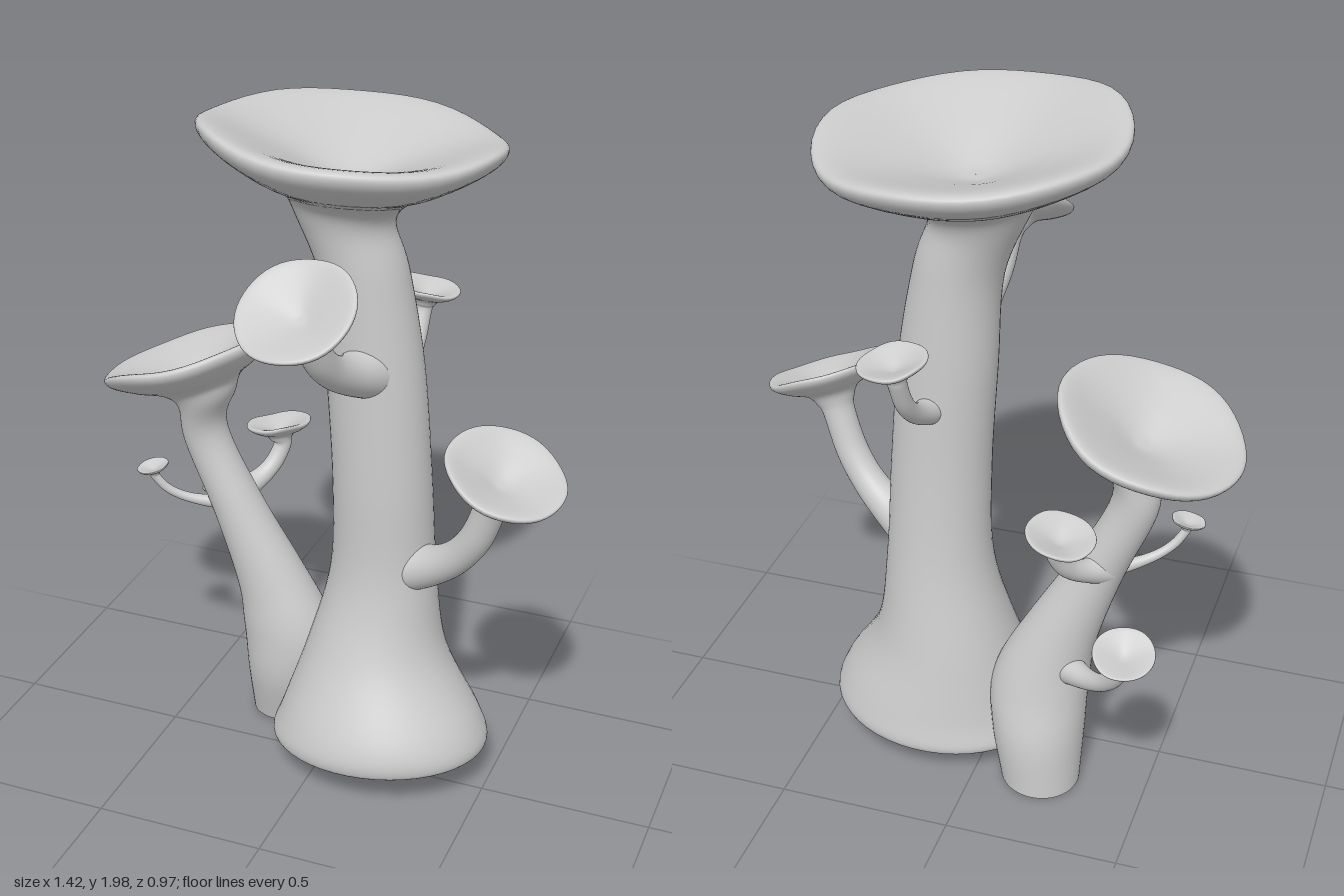
import * as THREE from 'three';

const material = new THREE.MeshStandardMaterial({ color: 0xcccccc, side: THREE.DoubleSide });
const UP = new THREE.Vector3(0, 1, 0);
const FOOT = new THREE.Vector3(-0.05, 1, -0.06).normalize();
const SIDES = 48, STEPS = 6;
const vec = (a) => new THREE.Vector3(...a);

// Trumpet cap: [radius, height along the cap axis], in cap radii, from neck over the lip into the bowl
const CAP = [[0.33, -0.58], [0.45, -0.41], [0.72, -0.28], [0.95, -0.13], [0.99, -0.02], [0.86, -0.02],
  [0.5, -0.15], [0.15, -0.29], [0.001, -0.31]];

// Smooth skin through sections { p, n, rx, rz }, wavy where wave > 0
function loft(name, sections, phase) {
  const curve = (f) => new THREE.CatmullRomCurve3(sections.map(f), false, 'catmullrom', 0.5);
  const centres = curve((s) => s.p);
  const normals = curve((s) => s.n);
  const sizes = curve((s) => new THREE.Vector3(s.rx, s.rz, s.wave));
  const rings = (sections.length - 1) * STEPS;
  const positions = [], index = [];
  const q = new THREE.Quaternion();
  for (let i = 0; i <= rings; i++) {
    const c = centres.getPoint(i / rings), r = sizes.getPoint(i / rings);
    q.setFromUnitVectors(UP, normals.getPoint(i / rings).normalize());
    for (let j = 0; j < SIDES; j++) {
      const a = (j / SIDES) * Math.PI * 2;
      const lift = r.z * (Math.sin(3 * a + phase) + 0.6 * Math.sin(5 * a + 2 * phase));
      const v = new THREE.Vector3(r.x * Math.cos(a), lift, r.y * Math.sin(a)).applyQuaternion(q).add(c);
      positions.push(v.x, v.y, v.z);
      if (i < rings) {
        const k = i * SIDES + j, m = i * SIDES + (j + 1) % SIDES;
        index.push(k, k + SIDES, m, m, k + SIDES, m + SIDES);
      }
    }
  }
  const geometry = new THREE.BufferGeometry();
  geometry.setAttribute('position', new THREE.Float32BufferAttribute(positions, 3));
  geometry.setIndex(index);
  geometry.computeVertexNormals();
  const mesh = new THREE.Mesh(geometry, material);
  mesh.name = name;
  return mesh;
}

// Cap sections that continue a stem
function capSections(centre, n, size) {
  return CAP.map(([r, h]) => ({
    p: centre.clone().addScaledVector(n, h * size), n,
    rx: size * r, rz: size * r, wave: 0.022 * size * r * r,
  }));
}

// Trunk through [x, y, z, rx, rz] points; the first three keep the slope of the open foot
function trunk(name, stem, centre, axis, size, phase) {
  const points = stem.map(([x, y, z]) => vec([x, y, z]));
  const sections = stem.map(([, , , rx, rz = rx], i) => {
    const next = points[Math.min(i + 1, points.length - 1)];
    const n = i < 3 ? FOOT : next.clone().sub(points[i - 1]).normalize();
    return { p: points[i], n, rx, rz, wave: 0 };
  });
  return loft(name, [...sections, ...capSections(vec(centre), vec(axis).normalize(), size)], phase);
}

// Branch that leaves its root sideways, bends upward and thins out towards its cap
function branch(name, root, centre, axis, size, phase) {
  const top = vec(centre), n = vec(axis).normalize(), start = vec(root);
  const neck = top.clone().addScaledVector(n, -0.8 * size);
  const bend = start.clone().lerp(neck, 0.78);
  bend.y = start.y + 0.15 * (neck.y - start.y);
  const path = new THREE.QuadraticBezierCurve3(start, bend, neck);
  const sections = [0, 0.25, 0.5, 0.75, 1].map((t) => {
    const r = 0.27 * size * (1 + 0.9 * (1 - t) ** 4);
    return { p: path.getPoint(t), n: path.getTangent(t), rx: r, rz: r, wave: 0 };
  });
  return loft(name, [...sections, ...capSections(top, n, size)], phase);
}

export function createModel() {
  const group = new THREE.Group();
  group.name = 'mushroomCluster';
  group.add(
    // Large trunk with a flared hollow foot, and a leaning one grown into its side
    trunk('mainMushroom', [[0.165, 0.09, -0.035, 0.29, 0.24], [0.165, 0.115, -0.035, 0.325, 0.278],
      [0.165, 0.2, -0.035, 0.295, 0.265], [0.14, 0.4, -0.07, 0.205, 0.195], [0.153, 0.65, -0.08, 0.155, 0.143],
      [0.148, 0.95, -0.07, 0.143, 0.13], [0.125, 1.28, -0.065, 0.138, 0.125], [0.093, 1.55, -0.06, 0.122]],
    [0.052, 1.945, -0.07], [0.06, 1, -0.06], 0.412, 0.8),
    trunk('sideMushroom', [[-0.19, 0.015, -0.2, 0.115], [-0.175, 0.18, -0.175, 0.135],
      [-0.175, 0.33, -0.155, 0.14, 0.12], [-0.23, 0.5, -0.145, 0.105, 0.095],
      [-0.33, 0.73, -0.135, 0.075], [-0.425, 0.95, -0.13, 0.068]],
    [-0.467, 1.215, -0.13], [-0.38, 1, -0.1], 0.268, 2),
    // Branches of the large trunk
    branch('leftBranch', [0.21, 0.68, -0.06], [0.55, 1.105, 0.075], [0.37, 1, 0.22], 0.172, 1),
    branch('frontBranch', [0.13, 1.3, 0], [0.06, 1.6, 0.355], [-0.1, 0.82, 0.56], 0.164, 3),
    branch('backBranch', [0.14, 1.16, -0.14], [0.17, 1.415, -0.37], [0.15, 1, -0.1], 0.095, 4),
    // Twigs of the leaning trunk
    branch('backTwig', [-0.35, 0.75, -0.16], [-0.27, 0.935, -0.31], [-0.18, 1, -0.1], 0.097, 5),
    branch('rightTwig', [-0.37, 0.73, -0.13], [-0.555, 0.865, -0.03], [-0.2, 1, 0.1], 0.048, 1),
    branch('lowerTwig', [-0.27, 0.41, -0.2], [-0.47, 0.64, -0.38], [-0.1, 1, -0.35], 0.086, 2),
  );
  return group;
}
